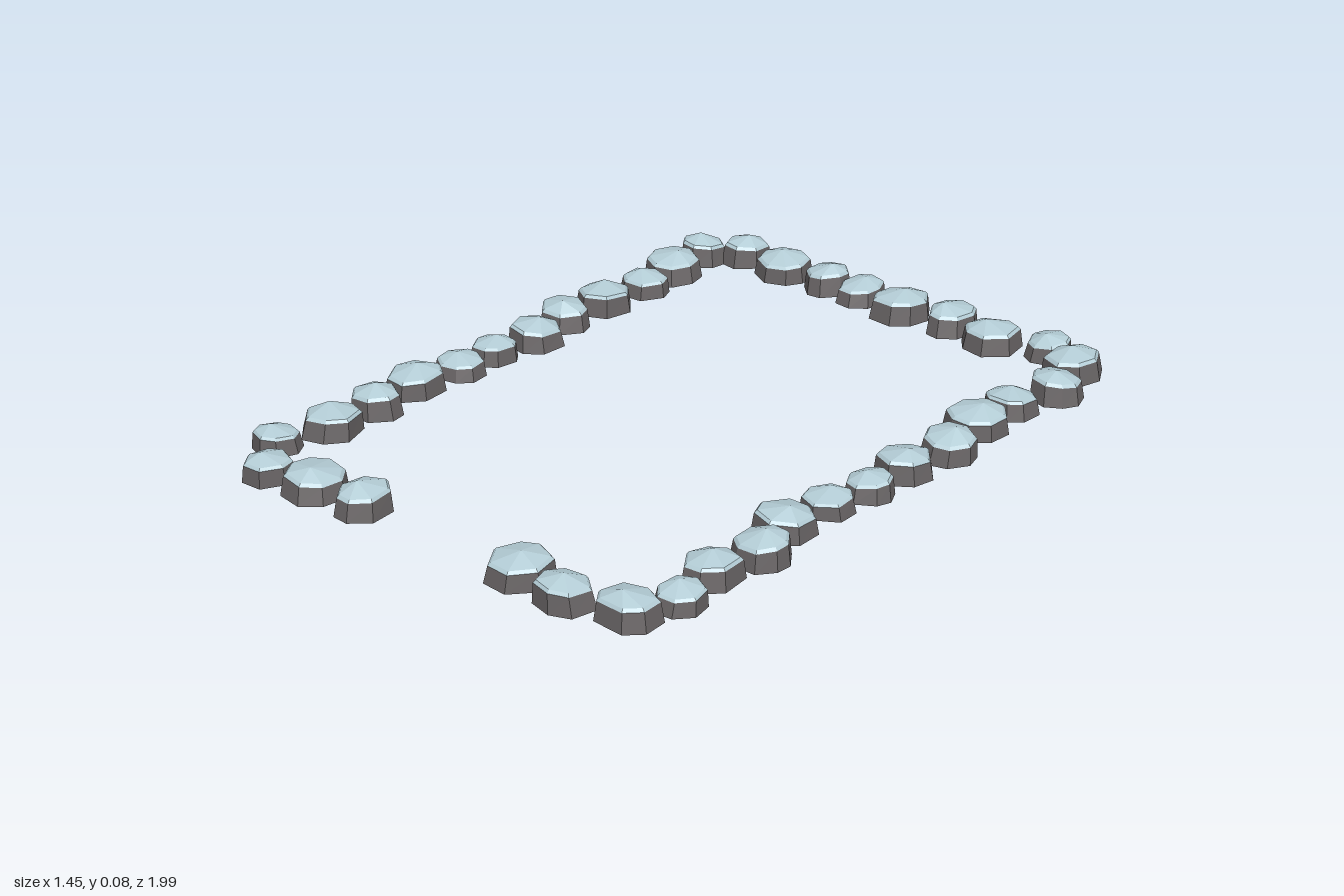
import * as THREE from 'three';

const rock = new THREE.MeshStandardMaterial({ name: 'darkGreyRock', color: 0x696566, side: THREE.DoubleSide, flatShading: true });
const frost = new THREE.MeshStandardMaterial({ name: 'paleBlueTop', color: 0xb4cdd6, side: THREE.DoubleSide, flatShading: true });

// Stones along each side: x, z, half width, half depth, height
const back = [
  [-.56, -.925, .065, .075, .08], [-.41, -.91, .085, .08, .075], [-.25, -.91, .065, .07, .08],
  [-.135, -.91, .065, .075, .065], [.015, -.895, .085, .09, .078], [.18, -.905, .065, .08, .08],
  [.33, -.88, .085, .08, .075], [.48, -.925, .065, .065, .07], [.60, -.87, .08, .09, .08],
];
const leftSide = [
  [.65, -.72, .075, .07, .08], [.61, -.575, .075, .07, .065], [.61, -.425, .085, .085, .075],
  [.645, -.255, .075, .075, .08], [.625, -.105, .075, .085, .075], [.63, .045, .065, .065, .065],
  [.61, .175, .07, .065, .06], [.60, .33, .08, .085, .075], [.65, .475, .075, .075, .08],
  [.625, .625, .075, .08, .075], [.655, .77, .065, .065, .065],
];
const front = [
  [.605, .89, .085, .075, .078], [.45, .925, .08, .07, .078], [.285, .905, .085, .085, .075],
  [-.23, .90, .07, .08, .08], [-.39, .905, .085, .085, .075], [-.54, .92, .065, .075, .07],
];
const rightSide = [
  [-.645, .795, .065, .065, .065], [-.615, .64, .08, .085, .075], [-.615, .485, .075, .07, .08],
  [-.635, .325, .08, .085, .075], [-.62, .175, .07, .065, .06], [-.625, .045, .065, .065, .065],
  [-.605, -.10, .075, .08, .075], [-.635, -.24, .075, .07, .08], [-.635, -.405, .08, .085, .075],
  [-.625, -.56, .07, .065, .065], [-.64, -.70, .08, .085, .08], [-.655, -.85, .07, .065, .08],
];

function makeRandom(seed) {
  return () => {
    seed = (seed * 16807) % 2147483647;
    return seed / 2147483647;
  };
}

// Skin rings of equal count from bottom to top; a one-point ring closes the top
function skin(rings) {
  const points = [];
  for (let r = 0; r + 1 < rings.length; r++) {
    const lower = rings[r], upper = rings[r + 1], n = lower.length;
    for (let i = 0; i < n; i++) {
      const j = (i + 1) % n;
      if (upper.length === 1) {
        points.push(lower[i], upper[0], lower[j]);
      } else {
        points.push(lower[i], upper[i], lower[j], lower[j], upper[i], upper[j]);
      }
    }
  }
  const geometry = new THREE.BufferGeometry().setFromPoints(points);
  geometry.computeVertexNormals();
  return geometry;
}

function makeStone([x, z, rx, rz, height], random) {
  const sides = 7 + Math.floor(random() * 2);
  const turn = random() * Math.PI;
  const outline = [];
  for (let i = 0; i < sides; i++) {
    const a = turn + (i + (random() - 0.5) * 0.35) / sides * Math.PI * 2;
    const r = 0.97 + random() * 0.08;
    outline.push([Math.cos(a) * r, Math.sin(a) * r]);
  }
  // Upper rings drift and tilt a little so each stone leans its own way
  const dx = (random() - 0.5) * 0.1, dz = (random() - 0.5) * 0.1;
  const tx = (random() - 0.5) * 0.01, tz = (random() - 0.5) * 0.01;
  const ring = (y, scale, lean) => outline.map(([u, v]) => new THREE.Vector3(
    (u * scale + dx * lean) * rx, y + (u * tx + v * tz) * lean, (v * scale + dz * lean) * rz));
  const shoulder = ring(height * 0.64, 0.9, 1);
  const rim = ring(height * 0.74, 0.81, 1);
  const peak = new THREE.Vector3((random() - 0.5) * 0.5 * rx, height, (random() - 0.5) * 0.5 * rz);

  const stone = new THREE.Group();
  stone.name = 'stone';
  // Open-bottomed rock wall
  const body = new THREE.Mesh(skin([ring(0, 1, 0), shoulder]), rock);
  body.name = 'stoneBody';
  // Bevelled, faceted top
  const cap = new THREE.Mesh(skin([shoulder, rim, [peak]]), frost);
  cap.name = 'stoneTop';
  stone.add(body, cap);
  stone.position.set(x, 0, z);
  return stone;
}

export function createModel() {
  const model = new THREE.Group();
  model.name = 'stoneBorder';
  const random = makeRandom(4711);
  for (const [name, stones] of Object.entries({ back, leftSide, front, rightSide })) {
    const row = new THREE.Group();
    row.name = name + 'Row';
    for (const stone of stones) row.add(makeStone(stone, random));
    model.add(row);
  }
  return model;
}
